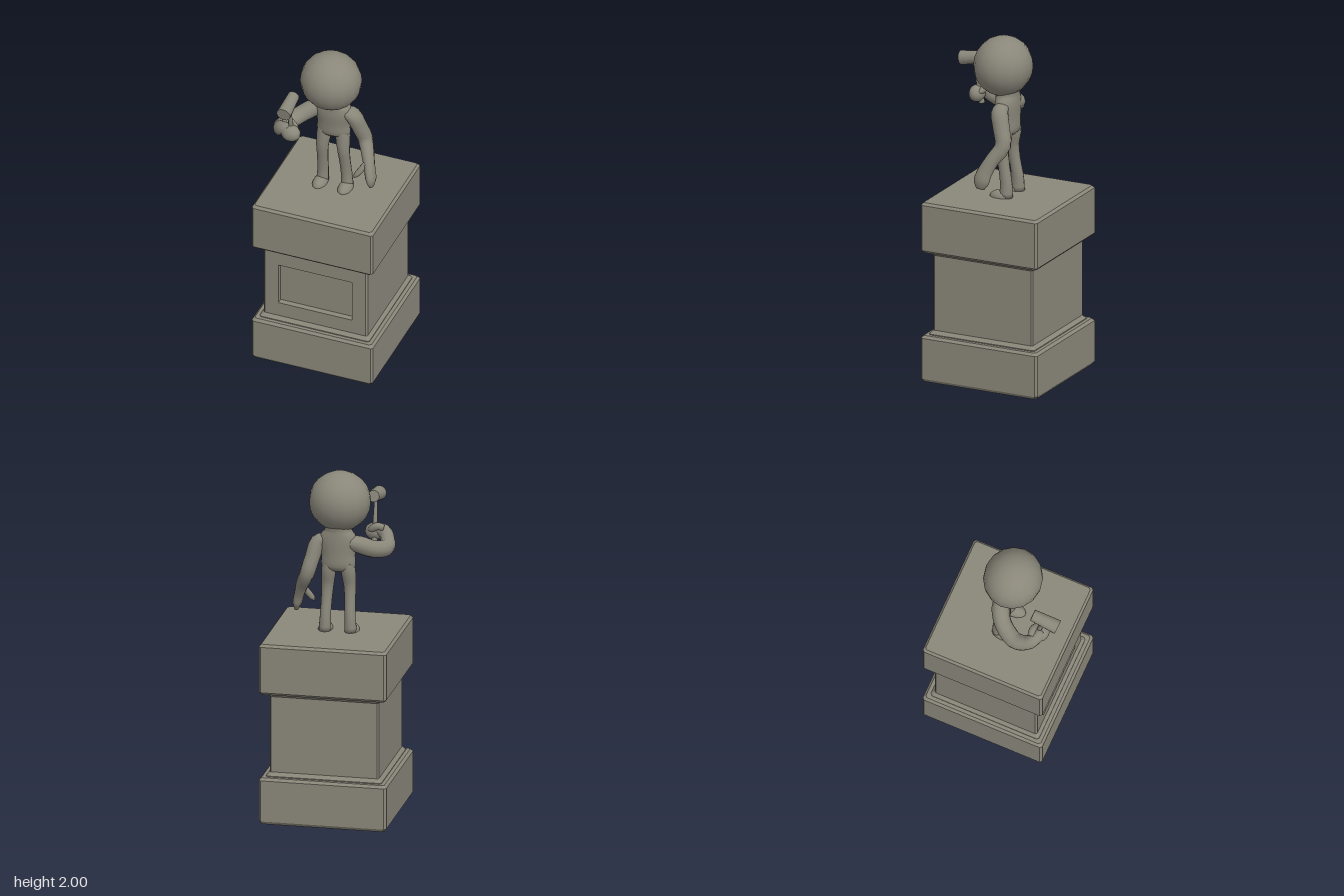
import * as THREE from 'three';

const stone = new THREE.MeshStandardMaterial({ color: 0x8a877a });
stone.name = 'stone';

// Skins a stack of closed rings and caps both ends
function skin(rings, flat = false) {
  const n = rings[0].length, pos = [], idx = [];
  rings.forEach(r => r.forEach(p => pos.push(p.x, p.y, p.z)));
  for (let i = 0; i < rings.length - 1; i++) {
    for (let j = 0; j < n; j++) {
      const a = i * n + j, b = i * n + (j + 1) % n;
      idx.push(a, b, a + n, b, b + n, a + n);
    }
  }
  const centre = ring => ring.reduce((s, p) => s.add(p), new THREE.Vector3()).divideScalar(n);
  const c0 = pos.length / 3, last = (rings.length - 1) * n;
  [rings[0], rings[rings.length - 1]].forEach(r => pos.push(...centre(r).toArray()));
  for (let j = 0; j < n; j++) {
    const k = (j + 1) % n;
    idx.push(c0, k, j, c0 + 1, last + j, last + k);
  }
  let g = new THREE.BufferGeometry();
  g.setAttribute('position', new THREE.Float32BufferAttribute(pos, 3));
  g.setIndex(idx);
  if (flat) g = g.toNonIndexed();
  g.computeVertexNormals();
  return g;
}

// Rounded limb through sections [x, y, z, radiusU, radiusV]; U follows the ref axis
function limb(sections, ref, sides = 12) {
  const path = new THREE.CatmullRomCurve3(sections.map(s => new THREE.Vector3(s[0], s[1], s[2])), false, 'catmullrom');
  const size = new THREE.CatmullRomCurve3(sections.map(s => new THREE.Vector3(s[3], s[4], 0)), false, 'catmullrom');
  const steps = (sections.length - 1) * 3, rings = [];
  for (let i = 0; i <= steps; i++) {
    const c = path.getPoint(i / steps), t = path.getTangent(i / steps), r = size.getPoint(i / steps);
    const u = ref.clone().addScaledVector(t, -ref.dot(t)).normalize();
    const v = t.clone().cross(u);
    rings.push(Array.from({ length: sides }, (_, j) => {
      const a = j / sides * Math.PI * 2;
      return c.clone().addScaledVector(u, Math.max(r.x, 0.003) * Math.cos(a))
        .addScaledVector(v, Math.max(r.y, 0.003) * Math.sin(a));
    }));
  }
  return skin(rings);
}

// Square block with cut corners, from [half width, y] levels
function block(levels, cut = 0.012) {
  return skin(levels.map(([h, y]) => {
    const k = h - cut;
    return [[h, k], [k, h], [-k, h], [-h, k], [-h, -k], [-k, -h], [k, -h], [h, -k]]
      .map(([z, x]) => new THREE.Vector3(x, y, z));
  }), true);
}

// Slice of the shaft, optionally notched at the front for the sunken panel
function shaftSlice(y0, y1, notched) {
  const h = 0.317, k = h - 0.01, w = 0.225, d = 0.035;
  const notch = notched ? [[-w, -h], [-w, d - h], [w, d - h], [w, -h]] : [];
  const pts = [[-h, -k], [-k, -h], ...notch, [k, -h], [h, -k], [h, k], [k, h], [-k, h], [-h, k]];
  const shape = new THREE.Shape(pts.map(p => new THREE.Vector2(...p)));
  const g = new THREE.ExtrudeGeometry(shape, { depth: y1 - y0, bevelEnabled: false });
  return g.rotateX(-Math.PI / 2).translate(0, y0, 0);
}

export function createModel() {
  const model = new THREE.Group();
  const X = new THREE.Vector3(1, 0, 0), Y = new THREE.Vector3(0, 1, 0);
  const add = (name, geometry, parent = model) => {
    const mesh = new THREE.Mesh(geometry, stone);
    mesh.name = name;
    parent.add(mesh);
    return mesh;
  };
  const ball = (name, p, s, parent) => {
    const mesh = add(name, new THREE.SphereGeometry(1, 16, 12), parent);
    mesh.position.set(...p);
    mesh.scale.set(...s);
    return mesh;
  };

  // Pedestal
  const pedestal = new THREE.Group();
  pedestal.name = 'pedestal';
  pedestal.position.z = -0.01;
  model.add(pedestal);
  add('plinthBase', block([[0.358, 0], [0.37, 0.018], [0.37, 0.26], [0.356, 0.275]]), pedestal);
  add('lowerMoulding', block([[0.335, 0.27], [0.335, 0.28], [0.316, 0.302]]), pedestal);
  add('upperMoulding', block([[0.316, 0.748], [0.335, 0.766], [0.335, 0.78]]), pedestal);
  add('plinthCap', block([[0.356, 0.77], [0.37, 0.785], [0.37, 1.055], [0.357, 1.07]]), pedestal);
  add('shaftLower', shaftSlice(0.275, 0.39, false), pedestal);
  add('shaftPanel', shaftSlice(0.39, 0.655, true), pedestal);
  add('shaftUpper', shaftSlice(0.655, 0.775, false), pedestal);

  // Figure
  const figure = new THREE.Group();
  figure.name = 'figure';
  model.add(figure);
  ball('head', [-0.015, 1.827, 0.028], [0.178, 0.174, 0.169], figure);
  add('torso', limb([
    [-0.012, 1.425, -0.01, 0.07, 0.03], [-0.013, 1.455, -0.01, 0.1, 0.055], [-0.013, 1.52, -0.008, 0.098, 0.06],
    [-0.012, 1.59, -0.005, 0.11, 0.066], [-0.012, 1.635, -0.005, 0.102, 0.066],
    [-0.012, 1.67, -0.003, 0.078, 0.068], [-0.012, 1.72, 0, 0.085, 0.08],
  ], X, 16), figure);

  // Legs and feet
  for (const [side, s] of [['left', 1], ['right', -1]]) {
    const at = o => -0.014 + s * o;
    add(side + 'Leg', limb([
      [at(0.055), 1.48, -0.01, 0.035, 0.045], [at(0.058), 1.42, -0.008, 0.042, 0.046], [at(0.064), 1.34, 0, 0.036, 0.038],
      [at(0.068), 1.25, -0.012, 0.032, 0.033], [at(0.072), 1.15, -0.028, 0.032, 0.036],
      [at(0.075), 1.07, -0.028, 0.036, 0.04],
    ], X), figure);
    const foot = add(side + 'Foot', new THREE.SphereGeometry(1, 14, 6, 0, Math.PI * 2, 0, Math.PI / 2), figure);
    foot.position.set(at(0.077), 1.068, 0.002);
    foot.scale.set(0.042, 0.042, 0.07);
  }

  // Hanging left arm and thumb
  add('leftArm', limb([
    [0.05, 1.61, -0.005, 0.025, 0.04], [0.105, 1.585, -0.01, 0.045, 0.05], [0.132, 1.5, -0.035, 0.044, 0.049],
    [0.158, 1.41, -0.058, 0.043, 0.047], [0.195, 1.33, -0.01, 0.036, 0.042], [0.22, 1.26, 0.025, 0.03, 0.045],
    [0.234, 1.205, 0.04, 0.027, 0.048], [0.24, 1.162, 0.045, 0.012, 0.026],
  ], X), figure);
  add('leftThumb', limb([
    [0.205, 1.31, 0.025, 0.015, 0.018], [0.175, 1.26, 0.05, 0.018, 0.02],
    [0.152, 1.228, 0.062, 0.015, 0.017], [0.142, 1.212, 0.067, 0.005, 0.006],
  ], X, 10), figure);

  // Raised right arm and fist
  add('rightArm', limb([
    [-0.06, 1.6, -0.01, 0.03, 0.04], [-0.125, 1.585, -0.002, 0.05, 0.05], [-0.2, 1.545, 0.05, 0.05, 0.05],
    [-0.255, 1.528, 0.14, 0.05, 0.05], [-0.25, 1.555, 0.215, 0.046, 0.042],
    [-0.222, 1.588, 0.252, 0.042, 0.038], [-0.17, 1.59, 0.27, 0.042, 0.036],
  ], Y), figure);
  ball('rightFist', [-0.165, 1.58, 0.27], [0.058, 0.05, 0.046], figure);
  add('rightThumb', limb([
    [-0.225, 1.615, 0.23, 0.02, 0.02], [-0.19, 1.625, 0.225, 0.022, 0.02],
    [-0.155, 1.605, 0.232, 0.02, 0.018], [-0.13, 1.595, 0.245, 0.006, 0.006],
  ], Y, 10), figure);

  // Mallet
  const mallet = new THREE.Group();
  mallet.name = 'mallet';
  mallet.position.set(-0.168, 1.79, 0.294);
  mallet.rotation.x = 0.18;
  model.add(mallet);
  const handle = add('malletHandle', new THREE.CylinderGeometry(0.009, 0.017, 0.27, 10), mallet);
  handle.position.set(0, -0.135, -0.005);
  const head = add('malletHead', new THREE.CylinderGeometry(0.042, 0.034, 0.158, 16), mallet);
  head.rotation.x = Math.PI / 2;
  return model;
}
